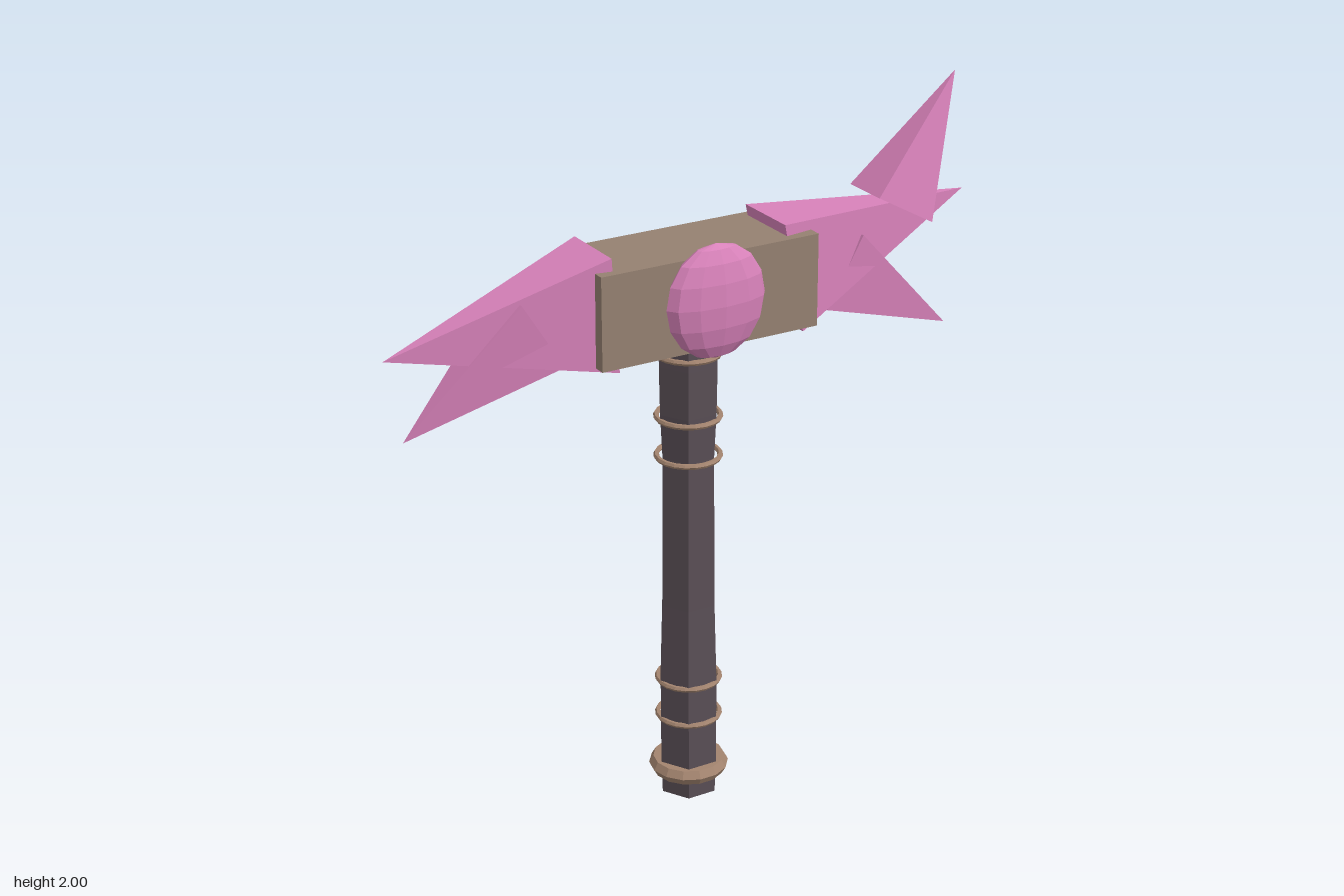
import * as THREE from 'three';
import { ConvexGeometry } from 'three/addons/geometries/ConvexGeometry.js';

const AXIS_Z = -0.04;

function material(name, color) {
  const m = new THREE.MeshStandardMaterial({ color });
  m.name = name;
  m.flatShading = true;
  return m;
}

export function createModel() {
  const model = new THREE.Group();
  model.name = 'warHammer';

  const crystal = material('pink crystal', 0xd882ba);
  const stone = material('brown block', 0x958171);
  const wood = material('dark wood', 0x5a4f56);
  const bronze = material('bronze', 0xa3846f);

  function add(name, geometry, mat, x = 0, y = 0, z = AXIS_Z) {
    const mesh = new THREE.Mesh(geometry, mat);
    mesh.name = name;
    mesh.position.set(x, y, z);
    model.add(mesh);
    return mesh;
  }

  // Four-sided spike: base edge from a to b, widened by halfDepth, to a tip
  function spike(name, a, b, tip, halfDepth) {
    const points = [new THREE.Vector3(tip[0], tip[1], tip[2] ?? 0)];
    for (const [x, y] of [a, b]) {
      for (const s of [-1, 1]) points.push(new THREE.Vector3(x, y, s * halfDepth));
    }
    add(name, new ConvexGeometry(points), crystal);
  }

  // Six-sided handle with a slight waist
  const profile = [
    [0, 0], [0.086, 0], [0.09, 0.1], [0.091, 0.36], [0.084, 0.6],
    [0.081, 1.05], [0.088, 1.18], [0.091, 1.32], [0.091, 1.42], [0, 1.42],
  ].map(([r, y]) => new THREE.Vector2(r, y));
  add('handle', new THREE.LatheGeometry(profile, 6, Math.PI / 6 + Math.PI / 3), wood);

  // Thin binding rings
  for (const y of [0.24, 0.357, 1.045, 1.162, 1.348]) {
    add('bindingRing', new THREE.TorusGeometry(0.088, 0.008, 6, 20), bronze, 0, y)
      .rotation.x = Math.PI / 2;
  }

  // Thick pommel ring
  add('pommelRing', new THREE.TorusGeometry(0.089, 0.025, 6, 14), bronze, 0, 0.077)
    .rotation.x = Math.PI / 2;

  // Head block
  add('headBlock', new THREE.BoxGeometry(0.66, 0.262, 0.25), stone, 0, 1.529, AXIS_Z);

  // Faceted gem on the front of the head
  add('gem', new THREE.SphereGeometry(1, 12, 8), crystal, 0, 1.54, 0.105)
    .scale.set(0.15, 0.16, 0.054);

  // Main spikes
  spike('rightMainSpike', [-0.285, 1.695], [-0.265, 1.375], [-0.89, 1.5], 0.1);
  spike('leftMainSpike', [0.24, 1.692], [0.302, 1.378], [0.887, 1.658], 0.1);

  // Lower spikes
  spike('rightLowerSpike', [-0.53, 1.603], [-0.41, 1.41], [-0.845, 1.267], 0.07);
  spike('leftLowerSpike', [0.512, 1.606], [0.4, 1.41], [0.843, 1.267], 0.07);

  // Upper spike
  spike('leftUpperSpike', [0.56, 1.703], [0.738, 1.604], [0.853, 2.0, -0.008], 0.072);

  return model;
}
